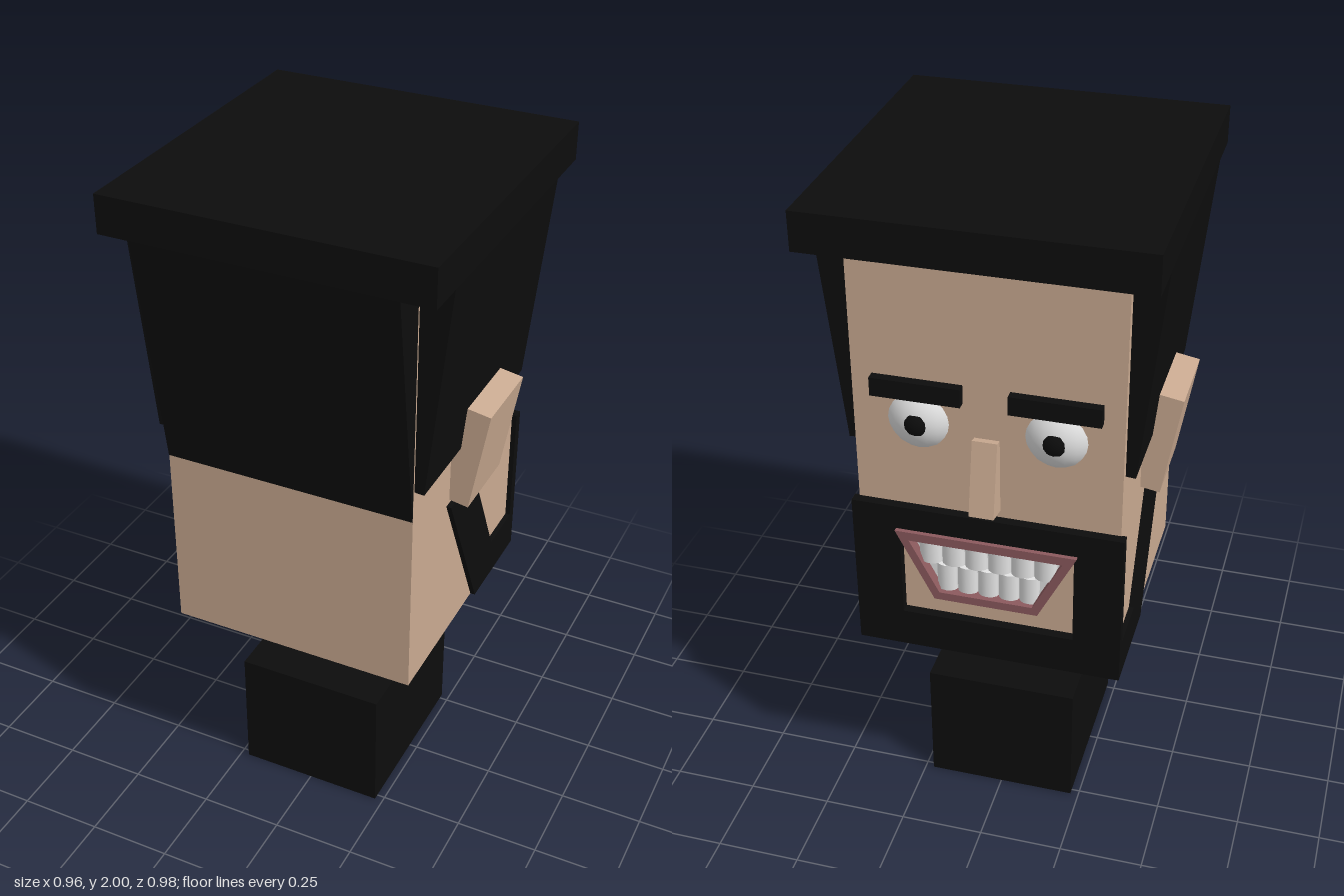
import * as THREE from 'three';

export function createModel() {
  const model = new THREE.Group();

  const material = (name, color) => {
    const m = new THREE.MeshStandardMaterial({ color });
    m.name = name;
    return m;
  };
  const skin = material('skin', 0xcbab92);
  const black = material('black', 0x0d0d0d);
  const white = material('white', 0xe4e4e4);
  const lip = material('lip', 0x8c5a5e);

  const add = (name, geometry, mat, x = 0, y = 0, z = 0) => {
    const mesh = new THREE.Mesh(geometry, mat);
    mesh.name = name;
    mesh.position.set(x, y, z);
    model.add(mesh);
    return mesh;
  };
  const box = (name, mat, w, h, d, x, y, z) =>
    add(name, new THREE.BoxGeometry(w, h, d), mat, x, y, z);

  // Flat profile extruded along z, centred on z = 0
  const slab = (points, depth, hole) => {
    const shape = new THREE.Shape(points.map(([u, v]) => new THREE.Vector2(u, v)));
    if (hole) shape.holes.push(new THREE.Path(hole.map(([u, v]) => new THREE.Vector2(u, v))));
    return new THREE.ExtrudeGeometry(shape, { depth, bevelEnabled: false })
      .translate(0, 0, -depth / 2);
  };
  // Same, but the profile is given in (z, y) and extruded along x
  const sideSlab = (points, depth) => slab(points, depth).rotateY(-Math.PI / 2);

  // Body, neck and head (the face looks towards -z)
  box('body', black, 0.45, 0.395, 0.535, 0, 0.1975, 0);
  box('neck', skin, 0.09, 0.24, 0.09, 0, 0.505, 0);
  box('head', skin, 0.745, 1.285, 0.745, 0, 1.2575, 0.003);

  // Hair: flat top, sloping back and sloping sides
  box('hairTop', black, 0.93, 0.11, 0.976, 0, 1.945, 0);
  add('hairBack', sideSlab([[0.488, 1.9], [0.378, 1.185], [0.272, 1.2], [0.34, 1.9]], 0.744), black);

  for (const s of [1, -1]) {
    add('hairSide', slab(
      [[0.465, 1.9], [0.4, 1.275], [0.34, 1.28], [0.36, 1.9]].map(([x, y]) => [s * x, y]), 0.715),
      black, 0, 0, 0.0125);

    // Ear leaning outwards
    box('ear', skin, 0.085, 0.31, 0.24, s * 0.413, 1.247, 0).rotation.z = -s * 0.172;

    // Beard strip running from the ear to the chin
    add('beardSide', sideSlab([[0.14, 1.085], [-0.035, 1.085], [-0.21, 0.735],
      [-0.395, 0.735], [-0.395, 0.615], [-0.09, 0.615]], 0.018), black, s * 0.378);

    // Eye, pupil and eyebrow
    add('eye', new THREE.SphereGeometry(0.12, 24, 16), white, s * 0.19, 1.375, -0.285);
    add('pupil', new THREE.SphereGeometry(0.05, 16, 12), black, s * 0.19, 1.375, -0.362);
    box('eyebrow', black, 0.25, 0.055, 0.04, s * 0.19, 1.475, -0.376);
  }

  // Nose, tip tilted outwards
  box('nose', skin, 0.07, 0.22, 0.08, 0, 1.235, -0.376).rotation.x = 0.2;

  // Moustache and chin beard as one frame around the mouth
  add('beardFront', slab(
    [[-0.387, 0.615], [0.387, 0.615], [0.387, 1.1], [-0.387, 1.1]], 0.03,
    [[-0.25, 0.735], [-0.25, 1.0], [0.25, 1.0], [0.25, 0.735]]), black, 0, 0, -0.382);

  // Lips: trapezoid ring
  add('lips', slab(
    [[-0.26, 1.027], [0.26, 1.027], [0.15, 0.81], [-0.15, 0.81]], 0.045,
    [[-0.22, 1.0], [-0.135, 0.835], [0.135, 0.835], [0.22, 1.0]]), lip, 0, 0, -0.3875);

  // Two rows of rounded teeth
  const teeth = (count, width, y, height) => {
    const pitch = width / count;
    for (let i = 0; i < count; i++) {
      const tooth = new THREE.CylinderGeometry(pitch / 2, pitch / 2, height, 12).scale(1, 1, 0.7);
      add('tooth', tooth, white, (i - (count - 1) / 2) * pitch, y, -0.375);
    }
  };
  teeth(6, 0.4, 0.962, 0.077);
  teeth(5, 0.3, 0.878, 0.086);
  add('mouthBacking', slab(
    [[-0.22, 1.0], [0.22, 1.0], [0.135, 0.835], [-0.135, 0.835]], 0.008), white, 0, 0, -0.373);

  return model;
}
